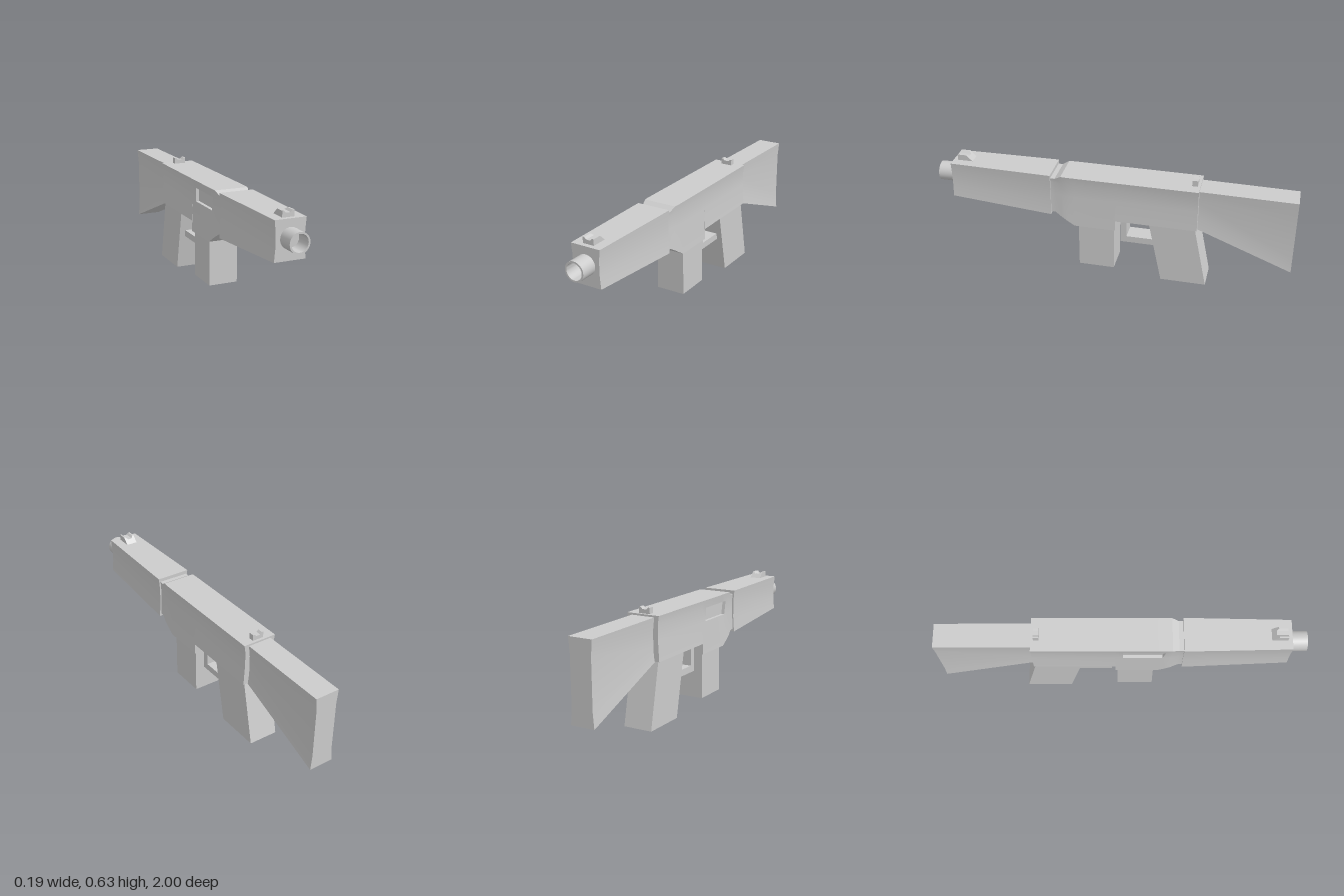
import * as THREE from 'three';
import { toCreasedNormals } from 'three/addons/utils/BufferGeometryUtils.js';

const material = new THREE.MeshStandardMaterial({ color: 0xcccccc });

// Joins rings of points (front to back); skip(i, j) leaves out one side quad.
function loft(rings, { front = true, back = true, skip = () => false } = {}) {
  const pos = [];
  const tri = (a, b, c) => pos.push(...a, ...b, ...c);
  const n = rings[0].length;
  for (let i = 0; i < rings.length - 1; i++) {
    const A = rings[i], B = rings[i + 1];
    for (let j = 0; j < n; j++) {
      if (skip(i, j)) continue;
      const k = (j + 1) % n;
      tri(A[j], B[j], A[k]);
      tri(A[k], B[j], B[k]);
    }
  }
  const cap = (ring, flip) => {
    const mid = [0, 1, 2].map((a) => ring.reduce((s, p) => s + p[a], 0) / n);
    ring.forEach((p, j) => {
      const q = ring[(j + 1) % n];
      if (flip) tri(mid, q, p);
      else tri(mid, p, q);
    });
  };
  if (front) cap(rings[0], false);
  if (back) cap(rings[rings.length - 1], true);
  const geo = new THREE.BufferGeometry();
  geo.setAttribute('position', new THREE.Float32BufferAttribute(pos, 3));
  return toCreasedNormals(geo, 0.3);
}

// Box-like cross-section whose sides are pinched between heights lo and hi.
function section(z, top, bottom, w, pinch, hi, lo, shear = 0) {
  const side = [[w, bottom, z], [w - pinch, lo, z - shear], [w - pinch, hi, z], [w, top, z]];
  return [...side, ...side.map(([x, y, d]) => [-x, y, d]).reverse()];
}

// Side outline given as [z, y] points, extruded across x.
function sidePlate(outline, halfWidth, hole) {
  const toShape = (pts) => pts.map(([z, y]) => new THREE.Vector2(z, y));
  const shape = new THREE.Shape(toShape(outline));
  if (hole) shape.holes.push(new THREE.Path(toShape(hole)));
  return new THREE.ExtrudeGeometry(shape, { depth: 2 * halfWidth, bevelEnabled: false })
    .rotateY(-Math.PI / 2)
    .translate(halfWidth, 0, 0);
}

// Notched sight block; its rear foot may reach further back.
function sight(zBack, zFront, foot) {
  const base = 0.59;
  const half = [[0.032, base], [0.032, 0.628], [0.023, 0.628], [0.012, 0.617]];
  const pts = [...half, ...half.map(([x, y]) => [-x, y]).reverse()];
  const shape = new THREE.Shape(pts.map(([x, y]) => new THREE.Vector2(x, y)));
  const geo = new THREE.ExtrudeGeometry(shape, { depth: zFront - zBack, bevelEnabled: false });
  geo.translate(0, 0, zBack);
  const p = geo.attributes.position;
  for (let i = 0; i < p.count; i++) {
    if (p.getZ(i) < zBack + 0.001) p.setZ(i, zBack - foot * (0.628 - p.getY(i)) / (0.628 - base));
  }
  geo.computeVertexNormals();
  return geo;
}

export function createModel() {
  const group = new THREE.Group();
  const add = (name, geometry) => {
    const mesh = new THREE.Mesh(geometry, material);
    mesh.name = name;
    group.add(mesh);
  };

  // Receiver with neck, chamfer and magazine well; one side quad is open for the port
  const hi = 0.55, lo = 0.475, w = 0.096, pinch = 0.007;
  const portFront = 0.24, portBack = 0.01, shear = 0.015;
  const body = [
    [0.34, 0.575, 0.368, 0.086, 0.004],
    [0.31, 0.575, 0.365, 0.086, 0.004],
    [0.275, 0.595, 0.343, 0.094, pinch],
    [portFront, 0.595, 0.32, w, pinch, shear],
    [0.2, 0.595, 0.295, w, pinch],
    [portBack, 0.595, 0.295, w, pinch],
    [-0.03, 0.595, 0.295, w, pinch],
    [-0.03, 0.595, 0.355, w, pinch],
    [-0.48, 0.595, 0.355, w, pinch],
  ].map(([z, top, bottom, hw, p, s]) => section(z, top, bottom, hw, p, hi, lo, s));
  add('receiver', loft(body, { skip: (i, j) => j === 5 && (i === 3 || i === 4) }));

  // Recessed ejection port
  const portRing = (x) => [
    [x, hi, portBack], [x, hi, portFront], [x, lo, portFront - shear], [x, lo, portBack],
  ];
  add('ejectionPort', loft([portRing(-(w - pinch)), portRing(-0.07)], { front: false }));

  // Tapered handguard
  add('handguard', loft([
    section(0.91, 0.595, 0.39, 0.084, 0.006, 0.535, 0.455),
    section(0.335, 0.595, 0.352, w, 0.006, 0.535, 0.44),
  ]));

  // Flared shoulder stock
  add('stock', loft([
    section(-0.47, 0.585, 0.355, 0.068, 0.007, 0.52, 0.42),
    section(-1, 0.58, 0.147, 0.068, 0.007, 0.5, 0.23),
  ]));

  // Hollow barrel
  const barrel = [[0.054, 0.88], [0.054, 1], [0.045, 1], [0.045, 0.913], [0, 0.913]]
    .map(([r, z]) => new THREE.Vector2(r, z));
  const barrelGeo = new THREE.LatheGeometry(barrel, 32).rotateX(Math.PI / 2).translate(0, 0.5, 0);
  add('barrel', toCreasedNormals(barrelGeo, 0.6));

  // Magazine, grip and trigger guard
  add('magazine', sidePlate([[0.18, 0.037], [0.18, 0.31], [-0.02, 0.31], [-0.02, 0.037]], 0.083));
  add('grip', sidePlate([[-0.29, 0], [-0.215, 0.36], [-0.468, 0.36], [-0.543, 0]], 0.083));
  add('triggerGuard', sidePlate(
    [[-0.05, 0.2], [-0.05, 0.36], [-0.3, 0.36], [-0.3, 0.2]], 0.05,
    [[-0.085, 0.237], [-0.085, 0.354], [-0.27, 0.354], [-0.27, 0.237]],
  ));

  // Sights
  add('frontSight', sight(0.835, 0.885, 0.04));
  add('rearSight', sight(-0.465, -0.435, 0));

  return group;
}
